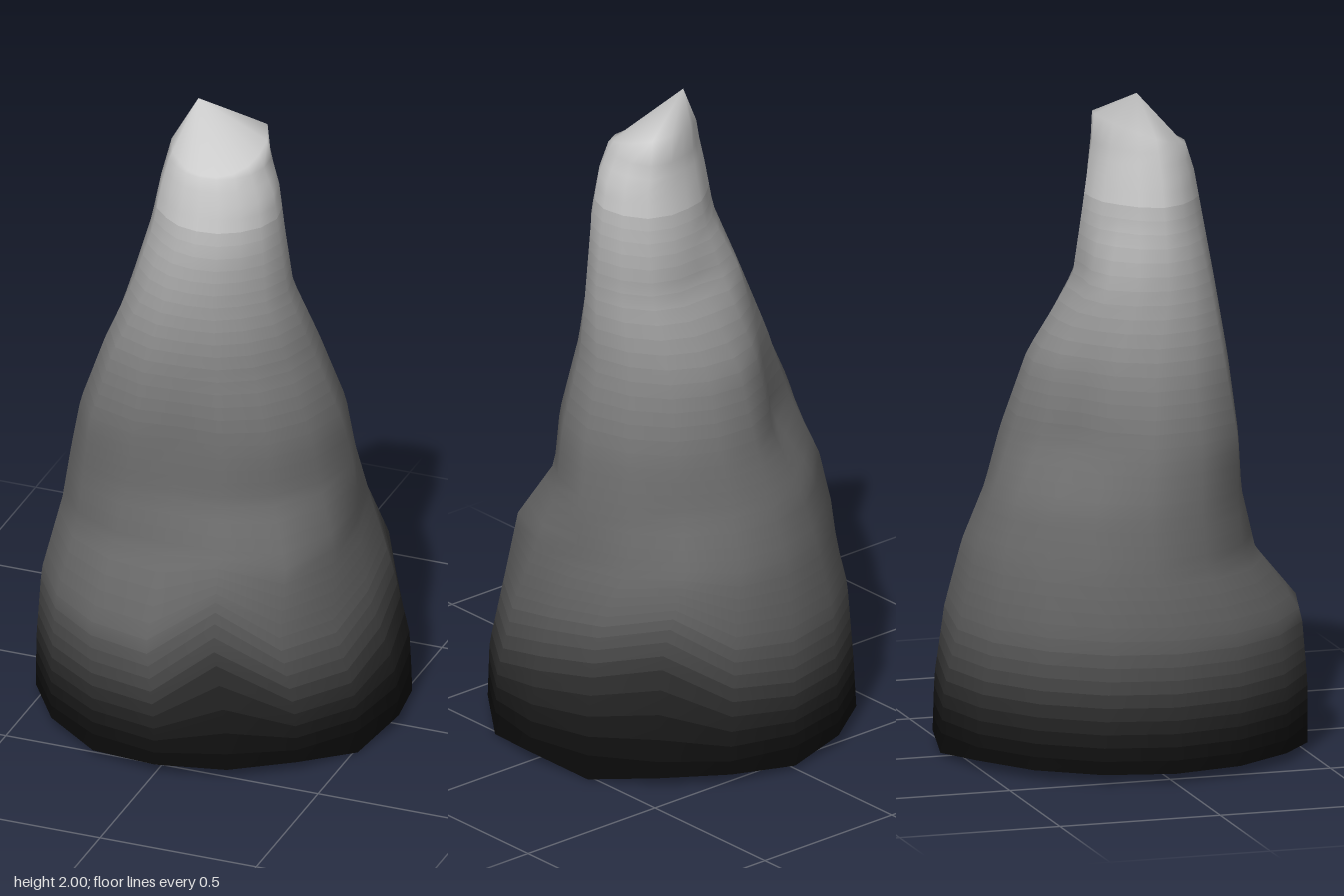
import * as THREE from 'three';

// Cross-sections: height, then reach in eight directions
// (left, front-left, front, front-right, right, back-right, back, back-left)
const RINGS = [
  [0.03, 0.56, 0.55, 0.56, 0.56, 0.56, 0.55, 0.56, 0.56],
  [0.20, 0.545, 0.545, 0.56, 0.56, 0.555, 0.54, 0.55, 0.56],
  [0.42, 0.47, 0.50, 0.545, 0.54, 0.54, 0.52, 0.51, 0.54],
  [0.63, 0.41, 0.46, 0.37, 0.45, 0.505, 0.465, 0.465, 0.465],
  [0.80, 0.40, 0.35, 0.31, 0.43, 0.475, 0.415, 0.41, 0.385],
  [0.97, 0.37, 0.335, 0.295, 0.42, 0.43, 0.30, 0.35, 0.36],
  [1.20, 0.29, 0.28, 0.285, 0.36, 0.34, 0.26, 0.275, 0.28],
  [1.42, 0.235, 0.25, 0.27, 0.28, 0.255, 0.20, 0.12, 0.18],
  [1.60, 0.21, 0.245, 0.255, 0.225, 0.20, 0.11, 0.095, 0.155],
  [1.75, 0.19, 0.22, 0.225, 0.20, 0.17, 0.085, 0.07, 0.14],
  [1.87, 0.14, 0.18, 0.19, 0.165, 0.14, 0.06, 0.05, 0.12],
];
const TIP = [-0.07, 2.0, 0.03];

// Grey value by height: sooty foot, pale crown
const SHADES = [
  [0.03, 8], [0.10, 18], [0.20, 42], [0.30, 72], [0.42, 95], [0.60, 104],
  [1.00, 112], [1.20, 130], [1.40, 155], [1.60, 180], [1.90, 215],
];

const COLUMNS = 16;
const ROWS = 46;
// How far the dark foot climbs at some columns, and how the foot is chipped
const LIFT = { 0: 0.05, 3: 0.14, 13: 0.03, 14: 0.15, 15: 0.09 };
const CHIP = { 1: -0.03, 5: -0.015, 12: -0.02, 15: -0.03 };

// Values of a height table, interpolated at height y
function lookUp(table, y) {
  let i = 1;
  while (i < table.length - 1 && table[i][0] < y) i++;
  const a = table[i - 1], b = table[i];
  const t = THREE.MathUtils.clamp((y - a[0]) / (b[0] - a[0]), 0, 1);
  return a.slice(1).map((v, k) => THREE.MathUtils.lerp(v, b[k + 1], t));
}

// Point of the rock wall in column j at height y
function wallPoint(y, j) {
  const reach = lookUp(RINGS, y);
  const cx = (reach[0] - reach[4]) / 2;
  const cz = (reach[2] - reach[6]) / 2;
  const radius = (k) => {
    const a = (k * Math.PI) / 4;
    return reach[k % 8] - cx * Math.cos(a) - cz * Math.sin(a);
  };
  const k = Math.floor(j / 2);
  const r = j % 2 ? (radius(k) + radius(k + 1)) / 2 : radius(k);
  const angle = (j / COLUMNS) * Math.PI * 2;
  return [cx + r * Math.cos(angle), y, cz + r * Math.sin(angle)];
}

function createShell() {
  const pos = [];
  for (let i = 0; i <= ROWS; i++) {
    const y = THREE.MathUtils.lerp(0.03, 1.87, i / ROWS);
    const climb = THREE.MathUtils.smoothstep(y, 0.03, 0.25)
      * (1 - THREE.MathUtils.smoothstep(y, 0.3, 0.75));
    for (let j = 0; j < COLUMNS; j++) {
      const p = wallPoint(y + (LIFT[j] ?? 0) * climb, j);
      if (i === 0) p[1] += CHIP[j] ?? 0;
      // the crown's rim rises towards the back
      if (i === ROWS) p[1] += 0.04 * (0.07 - p[2]) / 0.12;
      pos.push(...p);
    }
  }
  pos.push(...TIP);

  // one strip of faces per row, closed by the pointed crown
  const strips = [];
  for (let i = 0; i <= ROWS; i++) {
    const strip = [];
    for (let j = 0; j < COLUMNS; j++) {
      const a = i * COLUMNS + j;
      const b = i * COLUMNS + ((j + 1) % COLUMNS);
      if (i === ROWS) strip.push(a, (ROWS + 1) * COLUMNS, b);
      else strip.push(a, a + COLUMNS, b, b, a + COLUMNS, b + COLUMNS);
    }
    strips.push(strip);
  }

  const shell = new THREE.BufferGeometry();
  shell.setAttribute('position', new THREE.Float32BufferAttribute(pos, 3));
  shell.setIndex(strips.flat());
  shell.computeVertexNormals();
  return { shell, strips };
}

export function createModel() {
  const group = new THREE.Group();
  group.name = 'stalagmite';
  const { shell, strips } = createShell();

  // hollow rock, open underneath: bands share smooth normals and grow paler upwards
  strips.forEach((strip, i) => {
    const band = new THREE.BufferGeometry();
    band.setAttribute('position', shell.attributes.position);
    band.setAttribute('normal', shell.attributes.normal);
    band.setIndex(strip);
    const [shade] = lookUp(SHADES, THREE.MathUtils.lerp(0.03, 1.87, (i + 0.5) / ROWS));
    const grey = shade / 255;
    const mesh = new THREE.Mesh(band, new THREE.MeshStandardMaterial({
      color: new THREE.Color().setRGB(grey, grey, grey, THREE.SRGBColorSpace),
      side: THREE.DoubleSide,
    }));
    mesh.name = i === ROWS ? 'rockCrown' : `rockBand${i + 1}`;
    group.add(mesh);
  });
  return group;
}
